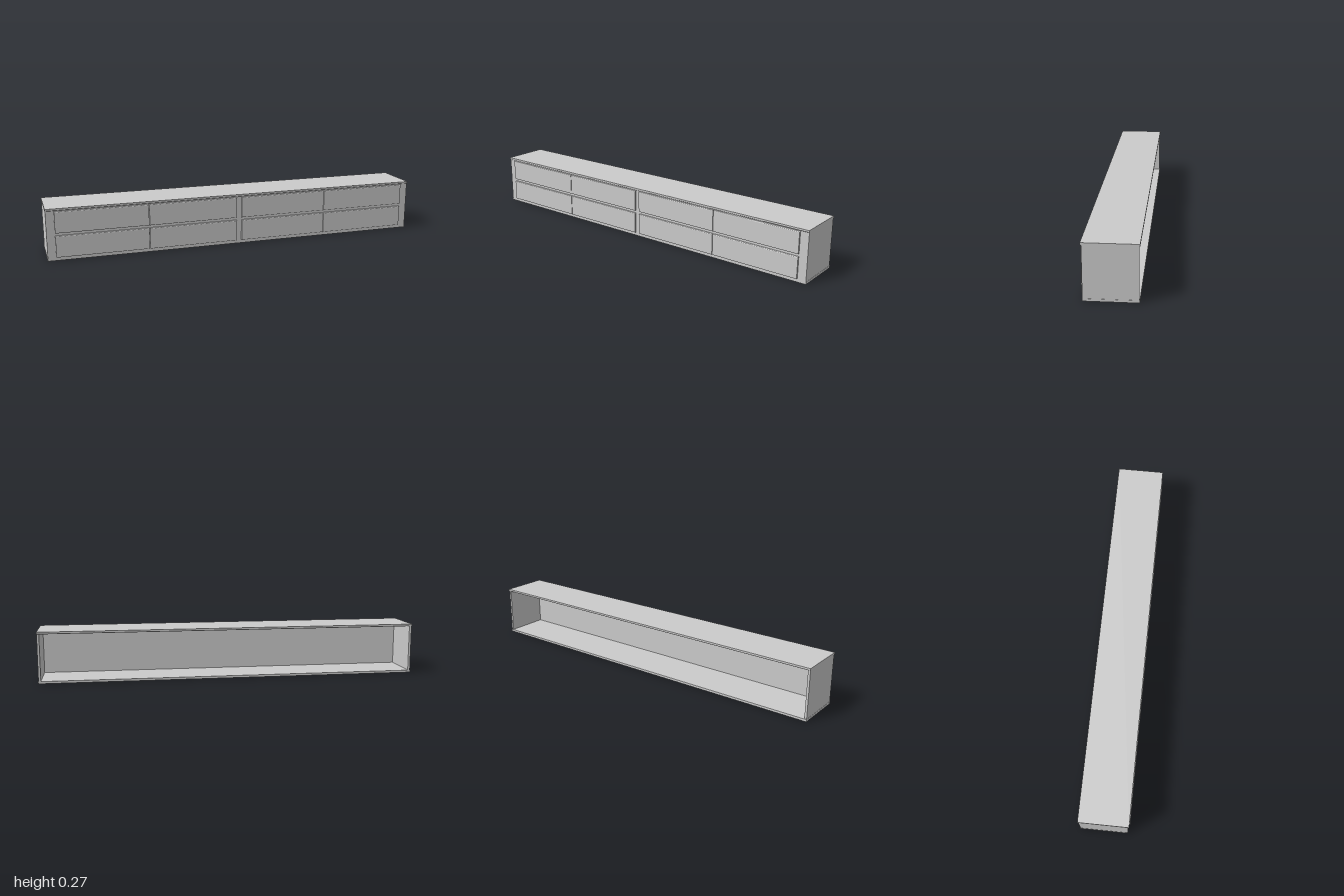
import * as THREE from 'three';

const material = new THREE.MeshStandardMaterial({ color: 0xcccccc });

export function createModel() {
  const model = new THREE.Group();
  model.name = 'lowCabinet';

  // Box given by its limits on each axis
  const panel = (name, x0, x1, y0, y1, z0, z1) => {
    const mesh = new THREE.Mesh(new THREE.BoxGeometry(x1 - x0, y1 - y0, z1 - z0), material);
    mesh.position.set((x0 + x1) / 2, (y0 + y1) / 2, (z0 + z1) / 2);
    mesh.name = name;
    model.add(mesh);
  };

  // Carcass, open at the back
  panel('bottomPanel', -1, 1, 0, 0.012, -0.127, 0.12);
  panel('frontPanel', -0.987, 0.987, 0.012, 0.257, 0.104, 0.12);
  for (const side of [-1, 1]) {
    const [x0, x1] = side < 0 ? [-0.999, -0.987] : [0.987, 0.999];
    panel(side < 0 ? 'rightSide' : 'leftSide', x0, x1, 0.012, 0.257, -0.124, 0.12);
  }

  // Extrudes a (z, y) side profile along x
  const extrudeAlongX = (name, shape, x0, x1) => {
    const geometry = new THREE.ExtrudeGeometry(shape, { depth: x1 - x0, bevelEnabled: false, curveSegments: 4 });
    geometry.rotateY(-Math.PI / 2);
    geometry.translate(x1, 0, 0);
    const mesh = new THREE.Mesh(geometry, material);
    mesh.name = name;
    model.add(mesh);
  };

  // Top board, overhanging the front a little
  const top = new THREE.Shape();
  top.moveTo(-0.127, 0.258);
  top.lineTo(-0.124, 0.256);
  top.lineTo(0.12, 0.256);
  top.lineTo(0.125, 0.259);
  top.lineTo(0.125, 0.268);
  top.lineTo(-0.127, 0.268);
  top.closePath();
  extrudeAlongX('topBoard', top, -1, 1);

  // Drawer front with an eased upper edge
  const drawerShape = (y0, y1) => {
    const s = new THREE.Shape();
    s.moveTo(0.119, y0);
    s.lineTo(0.128, y0);
    s.lineTo(0.129, y0 + 0.002);
    s.lineTo(0.129, y1 - 0.006);
    s.quadraticCurveTo(0.129, y1 - 0.001, 0.125, y1);
    s.lineTo(0.119, y1);
    s.closePath();
    return s;
  };

  // Two rows of four drawers, split by a wider gap in the middle
  const columns = [[-0.957, -0.4855], [-0.4825, -0.014], [0.012, 0.4825], [0.4855, 0.955]];
  for (const [y0, y1] of [[0.018, 0.129], [0.143, 0.254]]) {
    for (const [x0, x1] of columns) extrudeAlongX('drawerFront', drawerShape(y0, y1), x0, x1);
  }
  return model;
}
